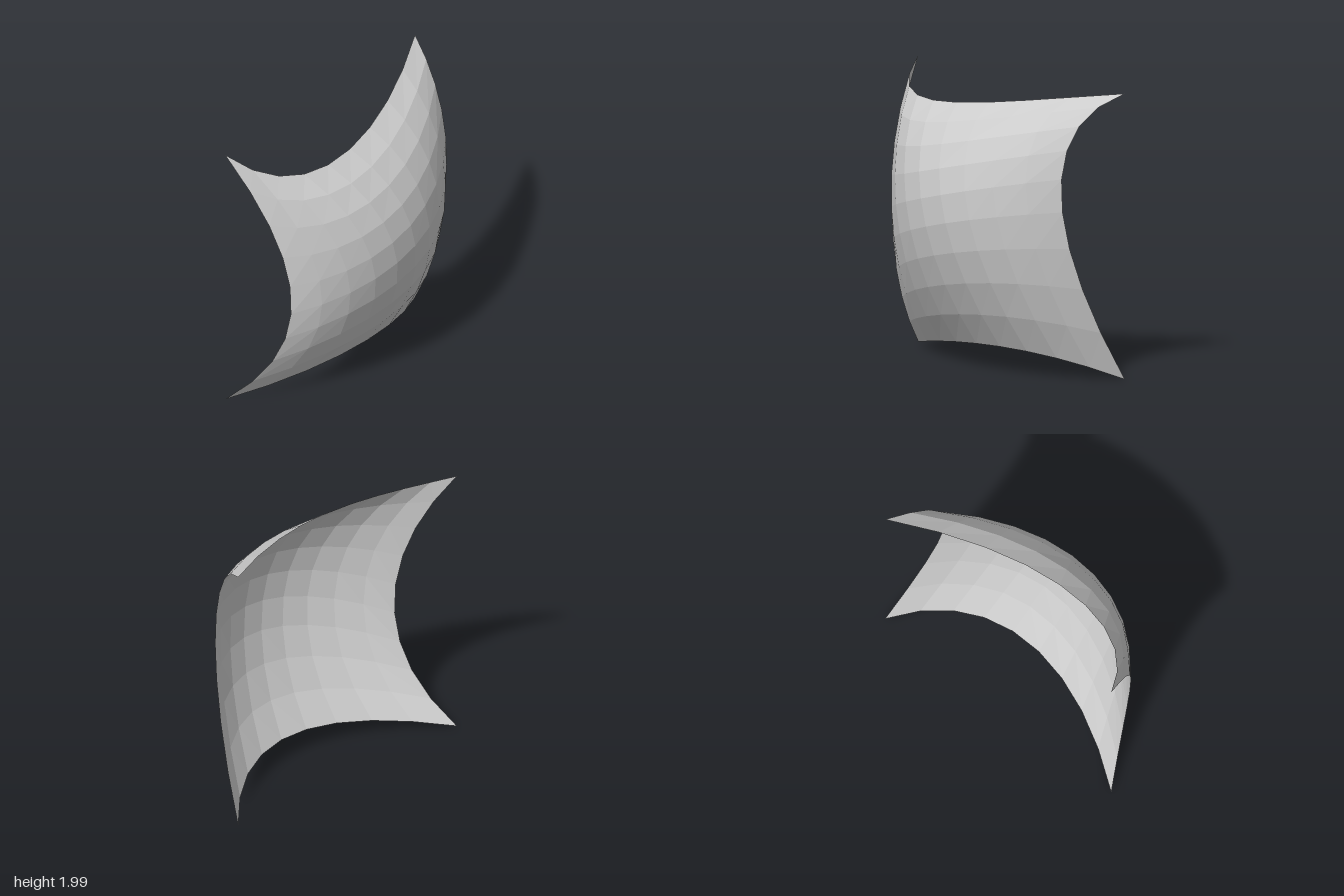
import * as THREE from 'three';

// Control rows from bottom to top; each row runs from -x to +x as [x, y, z]
const CONTROL = [
  [[-1, 0.01, -0.4], [-0.23, 0.2, 0.18], [0.51, 0.3, 0.18], [0.99, 0.01, -0.4]],
  [[-0.7, 0.52, 0.18], [-0.27, 0.82, 0.65], [0.33, 1.0, 0.65], [0.81, 1.05, 0.18]],
  [[-0.81, 1.22, 0.18], [-0.45, 1.42, 0.65], [0.16, 1.6, 0.65], [0.7, 1.8, 0.18]],
  [[-1, 2, -0.4], [-0.8, 1.67, 0.18], [-0.03, 1.86, 0.18], [0.99, 1.99, -0.4]],
].map((row) => row.map((p) => new THREE.Vector3(...p)));

const SEGMENTS = 9;

function bezier(points, t) {
  return new THREE.CubicBezierCurve3(...points).getPoint(t);
}

// Point on the bicubic patch
function patchPoint(u, v) {
  return bezier(CONTROL.map((row) => bezier(row, u)), v);
}

export function createModel() {
  const group = new THREE.Group();
  group.name = 'curvedPatch';

  // Bend a flat grid onto the patch
  const geometry = new THREE.PlaneGeometry(2, 2, SEGMENTS, SEGMENTS);
  const { position, uv } = geometry.attributes;
  for (let i = 0; i < position.count; i++) {
    const p = patchPoint(uv.getX(i), uv.getY(i));
    position.setXYZ(i, p.x, p.y, p.z);
  }
  geometry.computeVertexNormals();

  // Thin open sheet, visible from both sides
  const sheet = new THREE.Mesh(
    geometry,
    new THREE.MeshStandardMaterial({ color: 0xcccccc, flatShading: true, side: THREE.DoubleSide })
  );
  sheet.name = 'curvedSheet';
  group.add(sheet);
  return group;
}
